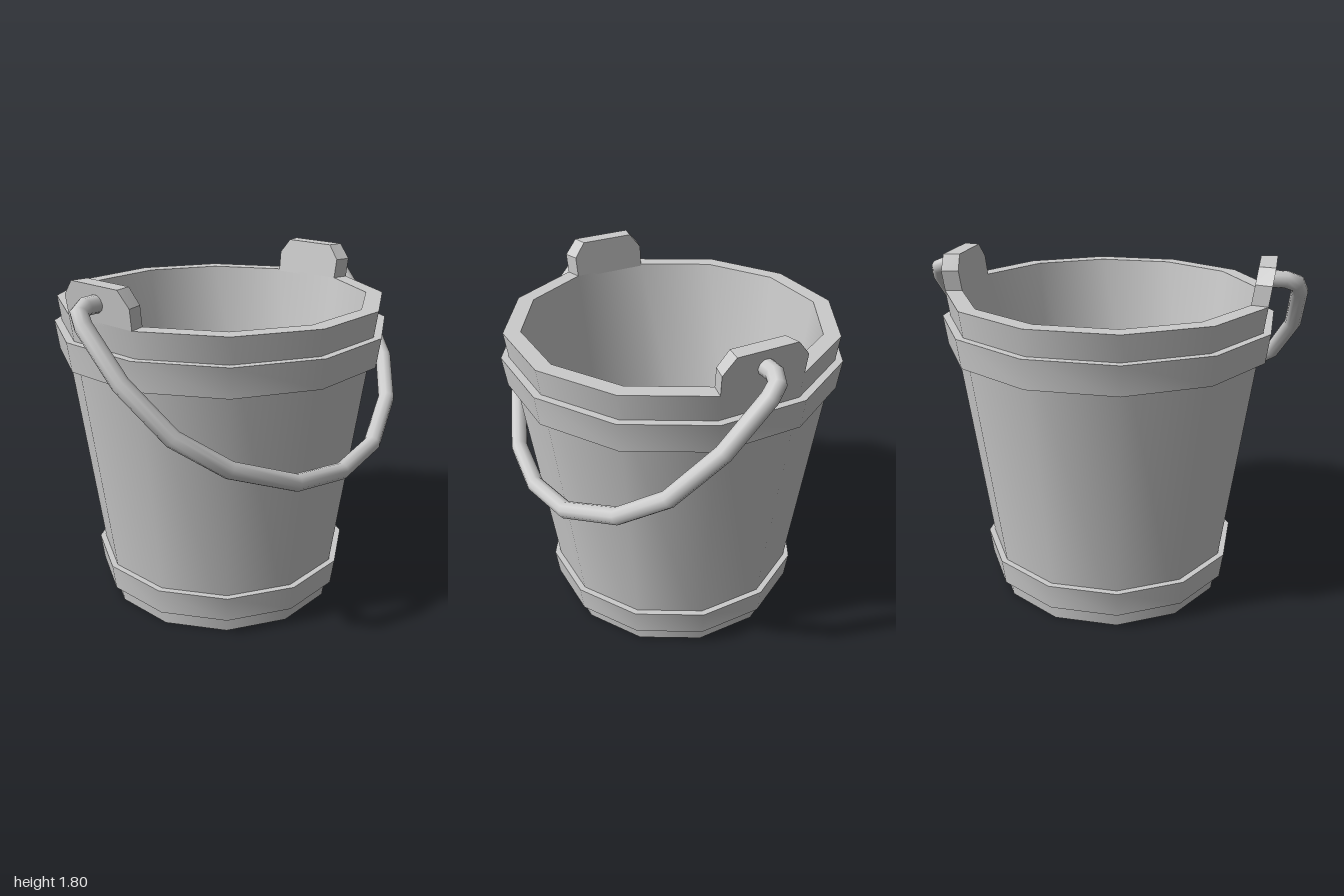
import * as THREE from 'three';
import { toCreasedNormals } from 'three/addons/utils/BufferGeometryUtils.js';

const SIDES = 12;
const TOP = 1.63;
const material = new THREE.MeshStandardMaterial({ color: 0xcccccc });

// Distance from the axis to the flat of the outer / inner wall at height y
const outer = (y) => 0.61 + 0.126 * y;
const inner = (y) => 0.52 + 0.13 * y;

function addMesh(parent, name, geometry) {
  const mesh = new THREE.Mesh(geometry, material);
  mesh.name = name;
  parent.add(mesh);
  return mesh;
}

// Twelve-sided turned form, flats facing the axes; radii measured to the flats
function turned(profile) {
  const toCorner = 1 / Math.cos(Math.PI / SIDES);
  const points = profile.map(([r, y]) => new THREE.Vector2(r * toCorner, y));
  const lathe = new THREE.LatheGeometry(points, SIDES, Math.PI / SIDES);
  return toCreasedNormals(lathe, 0.7);
}

// Band around the wall, with its back sunk slightly into the wall
function bandGeometry(y0, y1, thickness) {
  const sunk = 0.03;
  return turned([
    [outer(y0) - sunk, y0],
    [outer(y0) + thickness, y0],
    [outer(y1) + thickness, y1],
    [outer(y1) - sunk, y1],
  ]);
}

// Chamfered lug that continues one flat of the wall above the rim
function lugGeometry() {
  const shape = new THREE.Shape([
    [-1, TOP - 0.01], [1, TOP - 0.01], [1, 1.73], [0.7, 1.805], [-0.7, 1.805], [-1, 1.73],
  ].map(([x, y]) => new THREE.Vector2(x, y)));
  const geometry = new THREE.ExtrudeGeometry(shape, { depth: 1, bevelEnabled: false });
  const p = geometry.attributes.position;
  const slope = Math.tan(Math.PI / SIDES);
  for (let i = 0; i < p.count; i++) {
    const y = p.getY(i);
    const x = THREE.MathUtils.lerp(inner(y), outer(y), p.getZ(i));
    p.setXYZ(i, x, y, -p.getX(i) * x * slope);
  }
  geometry.computeVertexNormals();
  return toCreasedNormals(geometry, 0.5);
}

// Path that visits each point exactly, keeping the bends angular
class AngularPath extends THREE.Curve {
  constructor(points) {
    super();
    this.points = points;
  }
  index(t) {
    return Math.round(t * (this.points.length - 1));
  }
  getPoint(t, target = new THREE.Vector3()) {
    return target.copy(this.points[this.index(t)]);
  }
  getPointAt(t, target) {
    return this.getPoint(t, target);
  }
  getTangentAt(t, target = new THREE.Vector3()) {
    const i = this.index(t), pts = this.points;
    const before = pts[Math.max(i - 1, 0)];
    const after = pts[Math.min(i + 1, pts.length - 1)];
    const here = pts[i];
    target.set(0, 0, 0);
    if (before !== here) target.add(here.clone().sub(before).normalize());
    if (after !== here) target.add(after.clone().sub(here).normalize());
    return target.normalize();
  }
}

// Bail handle leaning forward from its pivots
function handleGeometry() {
  const pivotY = 1.72;
  const half = [
    [0.79, 1.72], [0.89, 1.718], [0.94, 1.698], [0.957, 1.65],
    [0.94, 1.43], [0.84, 1.205], [0.645, 1.04], [0.32, 0.905],
  ];
  const mirrored = half.map(([x, y]) => [-x, y]).reverse();
  const points = [...half, [0, 0.868], ...mirrored].map(
    ([x, y]) => new THREE.Vector3(x, y, (pivotY - y) * 0.94));
  return new THREE.TubeGeometry(new AngularPath(points), points.length - 1, 0.043, 10);
}

export function createModel() {
  const bucket = new THREE.Group();
  bucket.name = 'bucket';

  // Hollow body with rim and floor
  const floorY = 0.05;
  addMesh(bucket, 'body', turned([
    [0, 0], [outer(0), 0], [outer(TOP), TOP],
    [inner(TOP), TOP], [inner(floorY), floorY], [0, floorY],
  ]));

  // Bands
  addMesh(bucket, 'lowerBand', bandGeometry(0.09, 0.23, 0.031));
  addMesh(bucket, 'upperBand', bandGeometry(1.35, 1.5, 0.038));

  // Handle lugs on both sides
  const lug = lugGeometry();
  addMesh(bucket, 'leftLug', lug);
  addMesh(bucket, 'rightLug', lug).rotation.y = Math.PI;

  addMesh(bucket, 'handle', handleGeometry());

  return bucket;
}
